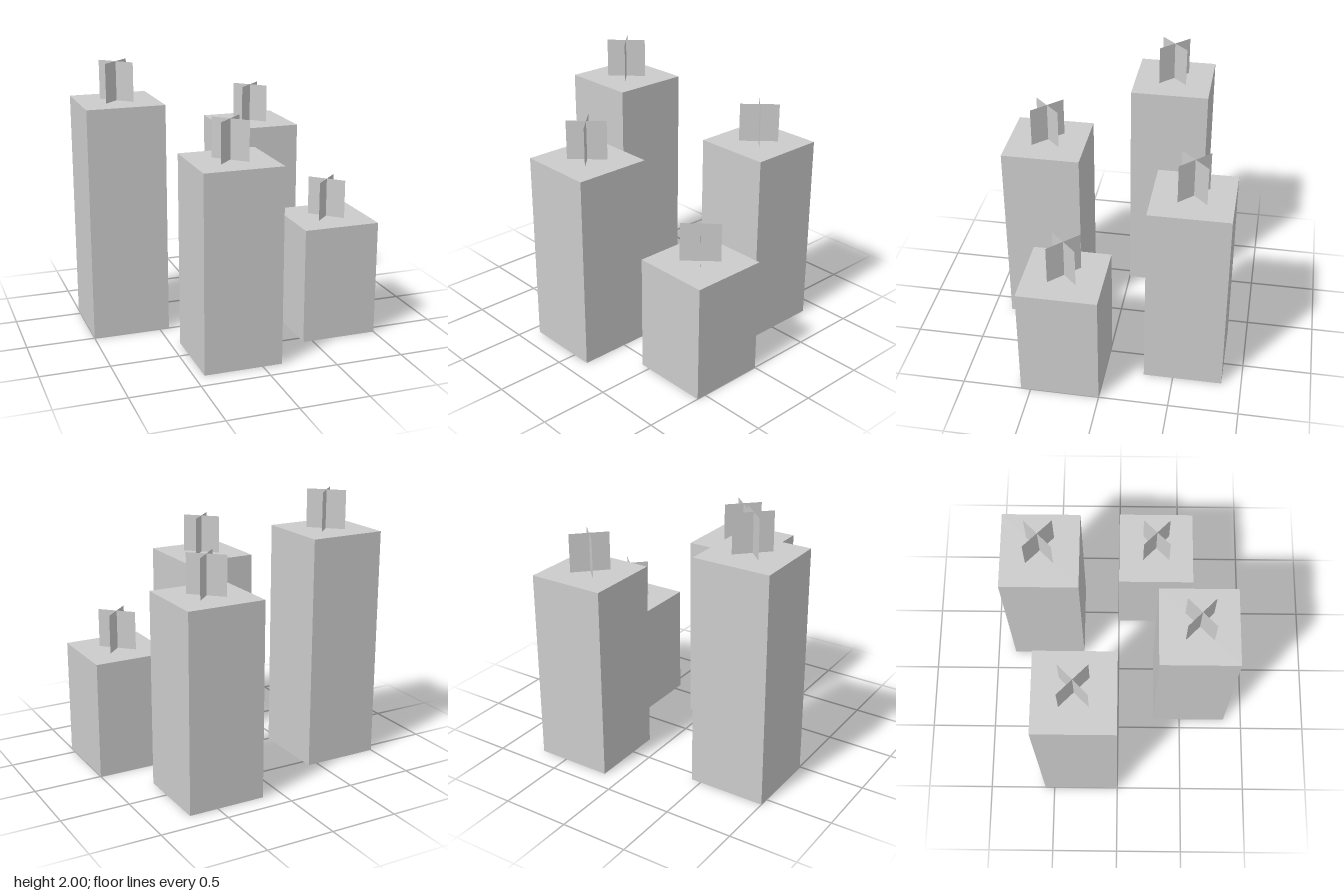
import * as THREE from 'three';

const U = 1 / 7; // grid unit

export function createModel() {
  const model = new THREE.Group();
  model.name = 'candleCluster';
  const wax = new THREE.MeshStandardMaterial({ color: 0xcccccc, flatShading: true });
  const wickMaterial = new THREE.MeshStandardMaterial({
    color: 0xcccccc, flatShading: true, side: THREE.DoubleSide,
  });

  // One square candle with a wick of two crossed sheets
  function addCandle(name, x, z, height) {
    const candle = new THREE.Group();
    candle.name = name;
    candle.position.set(x * U, 0, z * U);

    const body = new THREE.Mesh(new THREE.BoxGeometry(4 * U, height * U, 4 * U), wax);
    body.name = 'candleBody';
    body.position.y = height * U / 2;
    candle.add(body);

    for (const side of [-1, 1]) {
      const sheet = new THREE.Mesh(new THREE.PlaneGeometry(2 * U, 2 * U), wickMaterial);
      sheet.name = 'wickSheet';
      sheet.position.y = (height + 1) * U;
      sheet.rotation.y = side * Math.PI / 4;
      candle.add(sheet);
    }
    model.add(candle);
  }

  // Centre x, centre z and height in grid units
  addCandle('tallCandle', -5, -2, 12);
  addCandle('frontCandle', -1, 4, 10);
  addCandle('backCandle', 3, -4, 10);
  addCandle('shortCandle', 5, 2, 6);

  return model;
}
